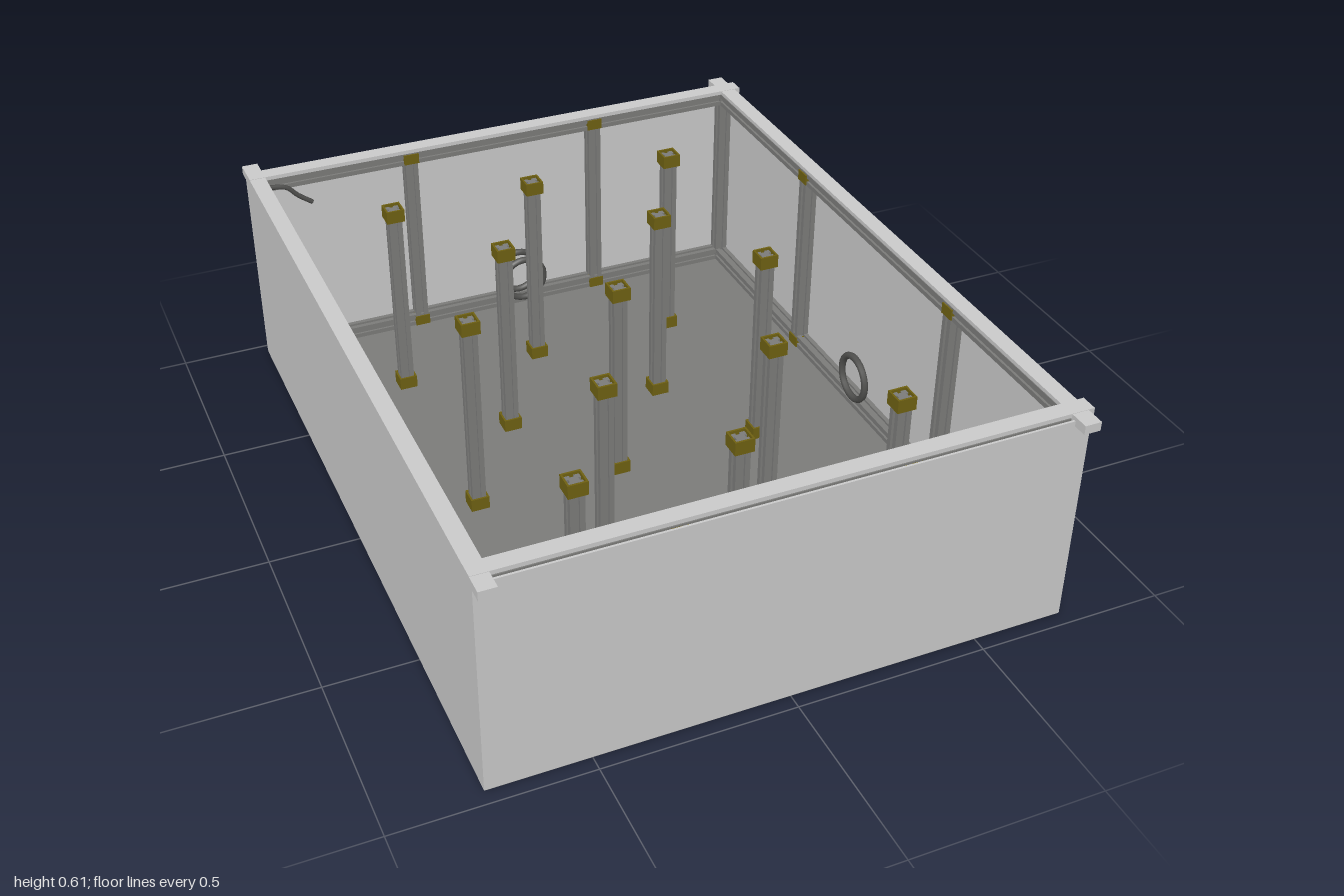
import * as THREE from 'three';

export function createModel() {
  const root = new THREE.Group();
  root.name = 'openCrate';
  const mat = (name, color) => {
    const m = new THREE.MeshStandardMaterial({ color });
    m.name = name;
    return m;
  };
  const lightGrey = mat('lightGrey', 0xc9c9c9);
  const grey = mat('floorGrey', 0x7b7b79);
  const olive = mat('olive', 0x6e6012);
  const dark = mat('darkGrey', 0x50504e);

  const add = (name, geo, m, x, y, z, parent = root) => {
    const mesh = new THREE.Mesh(geo, m);
    mesh.name = name;
    mesh.position.set(x, y, z);
    parent.add(mesh);
    return mesh;
  };
  // Box given by its extents along each axis
  const box = (name, m, x0, x1, y0, y1, z0, z1, parent) =>
    add(name, new THREE.BoxGeometry(x1 - x0, y1 - y0, z1 - z0), m,
      (x0 + x1) / 2, (y0 + y1) / 2, (z0 + z1) / 2, parent);

  // Square bar with a groove down the middle of each side
  function barGeometry(width, length) {
    const h = width / 2, g = width * 0.14, d = h * 0.65;
    const pts = [];
    for (let i = 0; i < 4; i++) {
      const c = Math.cos(i * Math.PI / 2), s = Math.sin(i * Math.PI / 2);
      for (const [x, y] of [[h, -h], [h, -g], [d, -g], [d, g], [h, g]])
        pts.push(new THREE.Vector2(x * c - y * s, x * s + y * c));
    }
    return new THREE.ExtrudeGeometry(new THREE.Shape(pts), { depth: length, bevelEnabled: false })
      .translate(0, 0, -length / 2);
  }

  // Square collar standing on the xz plane, open through the middle
  function collarGeometry(size, height) {
    const square = (P, h) => new P([[-h, -h], [h, -h], [h, h], [-h, h]].map(p => new THREE.Vector2(...p)));
    const shape = square(THREE.Shape, size / 2);
    shape.holes.push(square(THREE.Path, size / 2 - 0.005));
    return new THREE.ExtrudeGeometry(shape, { depth: height, bevelEnabled: false }).rotateX(-Math.PI / 2);
  }

  // Floor and wall panels
  box('floor', grey, -0.755, 0.74, 0, 0.012, -0.96, 0.96);
  box('frontWall', lightGrey, -0.76, 0.74, 0.004, 0.594, 0.957, 0.963);
  box('backWall', lightGrey, -0.76, 0.74, 0.008, 0.594, -0.963, -0.957);
  box('rightWall', lightGrey, -0.76, -0.754, 0.004, 0.6, -0.955, 0.963);
  box('leftWall', lightGrey, 0.734, 0.74, 0.004, 0.6, -0.955, 0.963);

  // Thin top rim with overlapping ends and blocks below each corner
  const rim = new THREE.Group();
  rim.name = 'topRim';
  root.add(rim);
  for (const [x0, x1] of [[-0.76, -0.716], [0.696, 0.74]]) {
    box('sideRim', lightGrey, x0, x1, 0.594, 0.604, -1, 1, rim);
    for (const s of [-1, 1]) {
      const z = [0.945 * s, s].sort((a, b) => a - b);
      box('sideRimEnd', lightGrey, x0, x1, 0.58, 0.604, ...z, rim);
    }
  }
  for (const [z0, z1] of [[-0.953, -0.908], [0.903, 0.948]]) {
    box('crossRim', lightGrey, -0.76, 0.755, 0.594, 0.605, z0, z1, rim);
    box('crossRimEnd', lightGrey, -0.76, -0.735, 0.58, 0.605, z0, z1, rim);
    box('crossRimEnd', lightGrey, 0.715, 0.757, 0.58, 0.605, z0, z1, rim);
  }

  // Grooved posts with a collar at each end
  const postGeo = barGeometry(0.037, 0.576).rotateX(Math.PI / 2);
  const collarGeo = collarGeometry(0.05, 0.036);
  const wallCollarGeo = collarGeometry(0.044, 0.03);
  function post(name, x, z, collar) {
    const g = new THREE.Group();
    g.name = name;
    g.position.set(x, 0, z);
    root.add(g);
    add('postBar', postGeo, grey, 0, 0.3, 0, g);
    if (!collar) return;
    add('topCollar', collar, olive, 0, 0.558, 0, g);
    add('bottomCollar', collar, olive, 0, 0.013, 0, g);
  }
  for (const z of [-0.62, 0, 0.71])
    for (const x of [-0.435, -0.03, 0.39]) post('innerPost', x, z, collarGeo);
  for (const z of [-0.305, 0.385])
    for (const x of [-0.23, 0.22]) post('innerPost', x, z, collarGeo);

  // Posts along the walls and in the corners
  for (const x of [-0.29, 0.28])
    for (const z of [-0.931, 0.932]) post('wallPost', x, z, wallCollarGeo);
  for (const x of [-0.735, 0.714]) {
    for (const z of [-0.37, 0.41]) post('wallPost', x, z, wallCollarGeo);
    for (const z of [-0.931, 0.931]) post('cornerPost', x, z, null);
  }

  // Rails around the foot and the top of the walls
  const sideRail = barGeometry(0.036, 1.83);
  const crossRail = barGeometry(0.036, 1.41).rotateY(Math.PI / 2);
  for (const y of [0.031, 0.574]) {
    for (const x of [-0.735, 0.714]) add('sideRail', sideRail, grey, x, y, 0);
    for (const z of [-0.931, 0.931]) add('crossRail', crossRail, grey, -0.01, y, z);
  }

  // Upright rings near the middle of each wall
  const ringGeo = new THREE.TorusGeometry(0.064, 0.01, 8, 24);
  const ring = (x, z, turn) => { add('wallRing', ringGeo, dark, x, 0.14, z).rotation.y = turn; };
  for (const z of [-0.893, -0.842, 0.898]) ring(0.015, z, 0);
  for (const x of [-0.703, 0.672]) ring(x, 0.025, Math.PI / 2);

  // Bent lever hanging in the back right corner
  const lever = new THREE.CatmullRomCurve3([
    new THREE.Vector3(-0.71, 0.57, -0.91), new THREE.Vector3(-0.66, 0.56, -0.91),
    new THREE.Vector3(-0.63, 0.53, -0.91), new THREE.Vector3(-0.59, 0.5, -0.91)]);
  add('cornerLever', new THREE.TubeGeometry(lever, 12, 0.007, 6), dark, 0, 0, 0);

  // Small plates at the lower ends of the left wall
  for (const z of [-0.935, 0.945]) box('cornerPlate', dark, 0.738, 0.743, 0.015, 0.045, z - 0.008, z + 0.008);

  return root;
}
